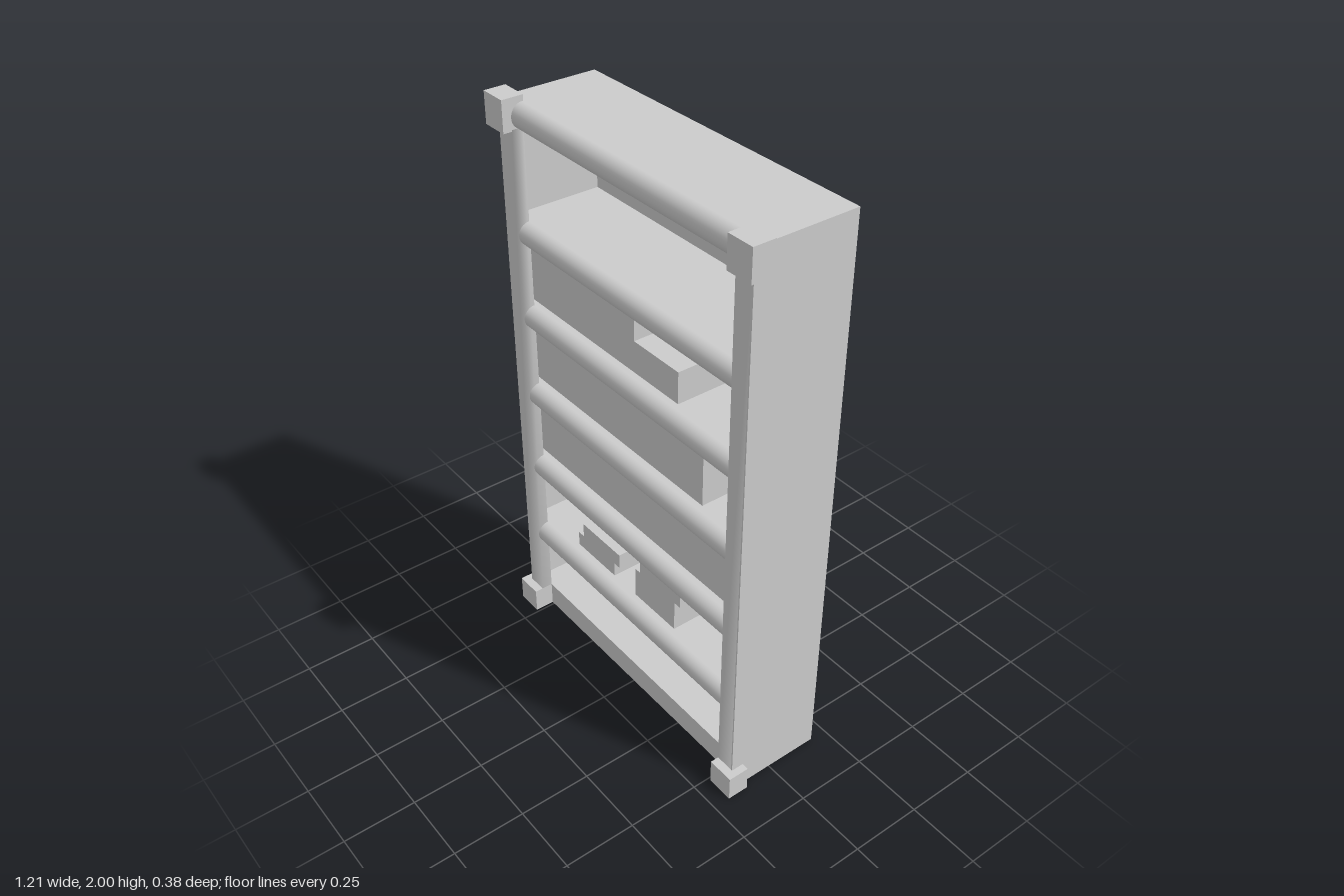
import * as THREE from 'three';
import { mergeVertices } from 'three/addons/utils/BufferGeometryUtils.js';

const material = new THREE.MeshStandardMaterial({ color: 0xcccccc });
const openMaterial = new THREE.MeshStandardMaterial({ color: 0xcccccc, side: THREE.DoubleSide });

// Box given by its minimum and maximum corners
function boxGeometry([x0, y0, z0], [x1, y1, z1]) {
  return new THREE.BoxGeometry(x1 - x0, y1 - y0, z1 - z0)
    .translate((x0 + x1) / 2, (y0 + y1) / 2, (z0 + z1) / 2);
}

// Box whose corners share normals, for the softly shaded posts
function softBoxGeometry(min, max) {
  const g = boxGeometry(min, max);
  g.deleteAttribute('normal');
  g.deleteAttribute('uv');
  const merged = mergeVertices(g);
  merged.computeVertexNormals();
  return merged;
}

// Box without its bottom face
function openBoxGeometry(min, max) {
  const g = boxGeometry(min, max);
  const index = Array.from(g.index.array);
  index.splice(18, 6);
  g.setIndex(index);
  g.clearGroups();
  return g;
}

// Half-round moulding along x, bulging forward from z to z + depth
function halfRoundGeometry(length, y0, y1, z, depth) {
  return new THREE.CylinderGeometry(1, 1, length, 16, 1, true, -Math.PI / 2, Math.PI)
    .rotateZ(Math.PI / 2)
    .scale(1, (y1 - y0) / 2, depth)
    .translate(0, (y0 + y1) / 2, z);
}

export function createModel() {
  const model = new THREE.Group();
  model.name = 'bookcase';

  function add(name, geometry, mat = material) {
    const mesh = new THREE.Mesh(geometry, mat);
    mesh.name = name;
    model.add(mesh);
  }
  const box = (name, min, max) => add(name, boxGeometry(min, max));

  const W = 0.58, IN = 0.51, BACK = -0.19, FRONT = 0.16, TOP = 1.98, FLOOR = 0.09;
  const T = 0.005; // panel thickness
  const EDGE = 0.12; // front of the shelves, behind their moulding
  const rail = (name, y0, y1) =>
    add(name, halfRoundGeometry(2 * IN, y0, y1, EDGE, FRONT - EDGE), openMaterial);

  // Thin case, with the plinth set back from the posts
  box('backPanel', [-W, 0, BACK], [W, TOP, BACK + T]);
  box('topPanel', [-W, TOP - T, BACK], [W, TOP, EDGE]);
  box('lintel', [-IN, 1.895, EDGE - T], [IN, TOP - T, EDGE]);
  rail('topRail', 1.895, TOP);
  box('floorPanel', [-W + T, FLOOR - T, BACK + T], [W - T, FLOOR, EDGE]);
  box('plinth', [-IN, 0, EDGE - T], [IN, FLOOR - T, EDGE]);

  // Sides, posts and corner blocks, mirrored
  for (const [side, s] of [['left', 1], ['right', -1]]) {
    const span = (a, b) => (s > 0 ? [a, b] : [-b, -a]);
    const [p0, p1] = span(W - T, W);
    box(side + 'Panel', [p0, 0, BACK], [p1, TOP, FRONT]);
    const [q0, q1] = span(IN, W - T);
    add(side + 'Post', softBoxGeometry([q0, FLOOR, EDGE], [q1, 1.9, FRONT]));
    const [c0, c1] = span(IN, 0.605);
    box(side + 'TopBlock', [c0, 1.895, 0.115], [c1, 2, 0.19]);
    add(side + 'Foot', openBoxGeometry([c0, 0, 0.115], [c1, FLOOR, 0.19]), openMaterial);
  }

  // Five shelves, each with a moulding along the front
  for (let i = 0; i < 5; i++) {
    const y = 0.39 + i * 0.3;
    box('shelf', [-W + T, y - 0.08, BACK + T], [W - T, y, EDGE]);
    rail('shelfRail', y - 0.08, y);
  }

  // Books and boxes: x from, x to, y from, y to
  const contents = [
    ['upperBookRow', -0.57, 0, 1.29, 1.5],
    ['middleBookRow', -0.57, 0.33, 0.99, 1.205],
    ['lowerBookRow', -0.57, 0.48, 0.69, 0.905],
    ['lyingBook', 0, 0.21, 1.29, 1.4],
    ['stackedBookBottom', -0.34, -0.13, 0.39, 0.445],
    ['stackedBookTop', -0.31, -0.1, 0.445, 0.5],
    ['boxBody', -0.01, 0.2, 0.39, 0.505],
    ['boxLid', 0.015, 0.23, 0.505, 0.555],
  ];
  for (const [name, x0, x1, y0, y1] of contents) {
    box(name, [x0, y0, -0.08], [x1, y1, 0.1]);
  }

  return model;
}
